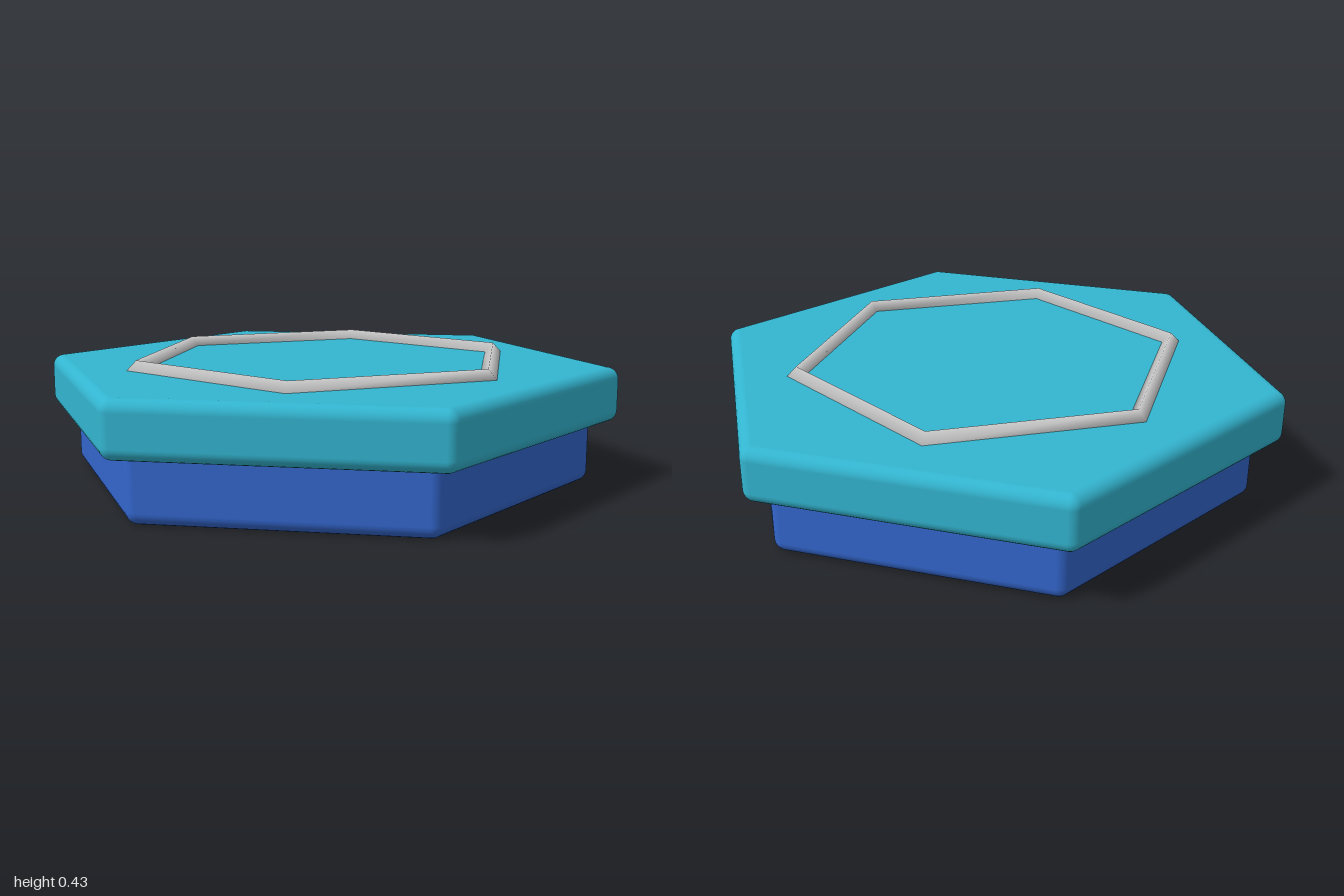
import * as THREE from 'three';

// Hexagonal slab with evenly rounded edges and corners (corners point along z).
function roundedHexSlab(apothem, y0, y1, r, steps = 6) {
  const pos = [], nor = [], idx = [];
  const cornerR = (apothem - r) / Math.cos(Math.PI / 6);
  const ringSize = 6 * (steps + 1);
  const rings = 2 * (steps + 1);

  // cross-section loops from the bottom face edge to the top face edge
  for (let i = 0; i < rings; i++) {
    const top = i > steps;
    const e = (Math.PI / 2) * (top ? (i - steps - 1) / steps : i / steps - 1);
    const cy = top ? y1 - r : y0 + r;
    for (let c = 0; c < 6; c++) {
      const mid = Math.PI / 2 + c * Math.PI / 3;
      for (let s = 0; s <= steps; s++) {
        const a = mid + (s / steps - 0.5) * Math.PI / 3;
        const n = [Math.cos(e) * Math.cos(a), Math.sin(e), Math.cos(e) * Math.sin(a)];
        pos.push(cornerR * Math.cos(mid) + r * n[0], cy + r * n[1], cornerR * Math.sin(mid) + r * n[2]);
        nor.push(...n);
      }
    }
  }
  for (let i = 0; i < rings - 1; i++) {
    for (let j = 0; j < ringSize; j++) {
      const k = (j + 1) % ringSize;
      const a = i * ringSize + j, b = i * ringSize + k;
      const c = a + ringSize, d = b + ringSize;
      idx.push(a, c, b, b, c, d);
    }
  }

  // flat bottom and top faces
  const centre = pos.length / 3;
  pos.push(0, y0, 0, 0, y1, 0);
  nor.push(0, -1, 0, 0, 1, 0);
  const last = (rings - 1) * ringSize;
  for (let j = 0; j < ringSize; j++) {
    const k = (j + 1) % ringSize;
    idx.push(centre, j, k, centre + 1, last + k, last + j);
  }

  const g = new THREE.BufferGeometry();
  g.setAttribute('position', new THREE.Float32BufferAttribute(pos, 3));
  g.setAttribute('normal', new THREE.Float32BufferAttribute(nor, 3));
  g.setIndex(idx);
  return g;
}

export function createModel() {
  const group = new THREE.Group();
  const add = (name, geometry, color) => {
    const mesh = new THREE.Mesh(geometry, new THREE.MeshStandardMaterial({ color }));
    mesh.name = name;
    group.add(mesh);
    return mesh;
  };

  // narrower base, reaching a little into the upper slab
  add('base', roundedHexSlab(0.791, 0, 0.27, 0.04), 0x3366cc);

  // wide upper slab
  add('topSlab', roundedHexSlab(0.871, 0.21, 0.395, 0.04), 0x33b5d0);

  // raised hexagonal rim, half sunk in the top face, corners along x
  const rim = new THREE.TorusGeometry(0.663, 0.032, 4, 6);
  rim.rotateX(-Math.PI / 2);
  add('rim', rim, 0xcccccc).position.y = 0.396;

  return group;
}
